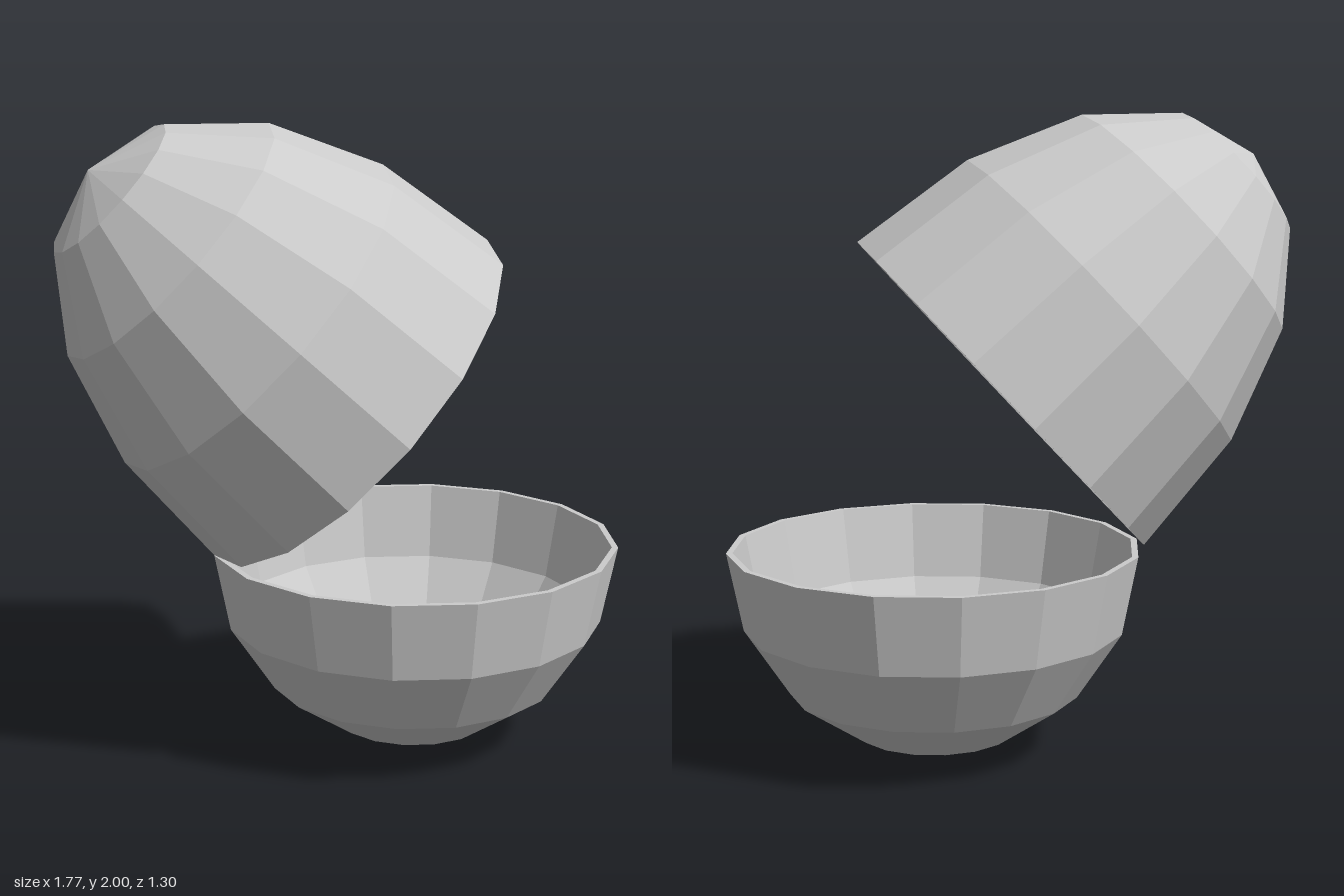
import * as THREE from 'three';

const RADIUS = 0.65, WALL = 0.02, SIDES = 16, RINGS = 4;

// Quarter-ellipse profile points, from the pole (below) up to the rim at y = 0
function quarterEllipse(radius, depth) {
  const points = [];
  for (let i = 0; i <= RINGS; i++) {
    const a = (i / RINGS) * Math.PI / 2;
    points.push(new THREE.Vector2(i === 0 ? 0 : radius * Math.sin(a), i === RINGS ? 0 : -depth * Math.cos(a)));
  }
  return points;
}

// Hollow half-egg: outer wall, flat rim, inner wall
function halfShell(name, depth, material) {
  const outer = quarterEllipse(RADIUS, depth);
  const inner = quarterEllipse(RADIUS - WALL, depth - WALL).reverse();
  const mesh = new THREE.Mesh(new THREE.LatheGeometry([...outer, ...inner], SIDES), material);
  mesh.name = name;
  return mesh;
}

export function createModel() {
  const group = new THREE.Group();
  group.name = 'openEgg';
  const material = new THREE.MeshStandardMaterial({ color: 0xcccccc, flatShading: true });

  // Round lower half, standing on its pole
  const lower = halfShell('lowerShell', 0.653, material);
  lower.position.set(0.23, 0.655, 0);

  // Taller upper half, tipped open about the left end of the rim
  const upper = halfShell('upperShell', 1.086, material);
  upper.position.set(0.02, 1.135, 0);
  upper.rotation.z = Math.atan2(-0.735, -0.678);

  group.add(lower, upper);
  return group;
}
